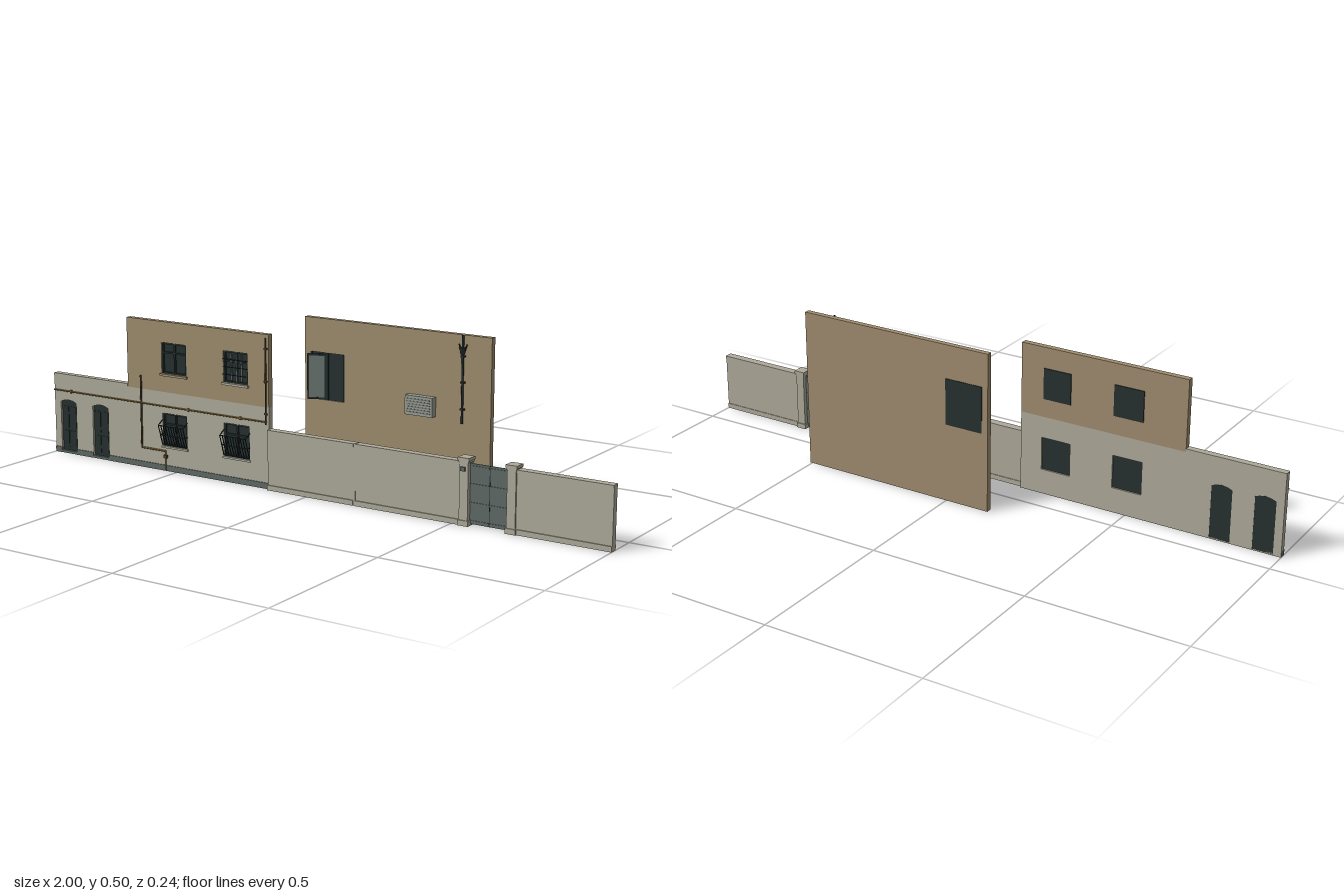
import * as THREE from 'three';

const mat = (name, color) => {
  const m = new THREE.MeshStandardMaterial({ color });
  m.name = name;
  return m;
};

export function createModel() {
  const plaster = mat('pale plaster', 0xaeab9a);
  const tan = mat('tan plaster', 0x9f8c6f);
  const dark = mat('dark glass and iron', 0x263030);
  const slate = mat('slate grey', 0x5f6a66);
  const paneGrey = mat('open pane grey', 0x6f7a77);
  const brass = mat('ochre pipe', 0x8a6c38);
  const rust = mat('brown pipe', 0x54412c);
  const vent = mat('light grey metal', 0x9a9d92);
  const root = new THREE.Group();
  root.name = 'streetWalls';

  const add = (name, geo, m, parent = root) => {
    const mesh = new THREE.Mesh(geo, m);
    mesh.name = name;
    parent.add(mesh);
    return mesh;
  };
  // Box given by its limits on each axis
  const box = (name, m, x0, x1, y0, y1, z0, z1, parent = root) => {
    const b = add(name, new THREE.BoxGeometry(x1 - x0, y1 - y0, z1 - z0), m, parent);
    b.position.set((x0 + x1) / 2, (y0 + y1) / 2, (z0 + z1) / 2);
    return b;
  };
  // Round rod between two points
  const rod = (name, m, a, b, r, parent = root) => {
    const p = new THREE.Vector3(...a), q = new THREE.Vector3(...b);
    const d = q.clone().sub(p);
    const c = add(name, new THREE.CylinderGeometry(r, r, d.length(), 8), m, parent);
    c.position.copy(p).add(q).multiplyScalar(0.5);
    c.quaternion.setFromUnitVectors(new THREE.Vector3(0, 1, 0), d.normalize());
  };
  // Wall with rectangular or slightly arched openings [x0, x1, y0, y1, rise]
  const outline = (T, [x0, x1, y0, y1, rise = 0]) => {
    const s = new T();
    s.moveTo(x0, y0);
    s.lineTo(x1, y0);
    s.lineTo(x1, y1 - rise);
    if (rise) s.quadraticCurveTo((x0 + x1) / 2, y1 + rise, x0, y1 - rise);
    else s.lineTo(x0, y1);
    s.closePath();
    return s;
  };
  const wall = (name, m, rect, z0, z1, holes = []) => {
    const s = outline(THREE.Shape, rect);
    s.holes = holes.map(h => outline(THREE.Path, h));
    const geo = new THREE.ExtrudeGeometry(s, { depth: z1 - z0, bevelEnabled: false, curveSegments: 6 });
    add(name, geo, m).position.z = z0;
  };

  // Street house: pale ground floor, tan upper storey
  const Z0 = 0.078, Z1 = 0.097;
  const doors = [[-0.975, -0.91, 0.004, 0.178, 0.008], [-0.84, -0.775, 0.004, 0.178, 0.008]];
  const lower = [[-0.552, -0.455, 0.08, 0.185], [-0.312, -0.215, 0.08, 0.185]];
  const upper = [[-0.552, -0.455, 0.312, 0.41], [-0.312, -0.22, 0.312, 0.41]];
  wall('groundFloorLeft', plaster, [-1, -0.69, 0.001, 0.26], Z0, Z1, doors);
  wall('groundFloorRight', plaster, [-0.69, -0.143, 0.001, 0.253], Z0, Z1, lower);
  wall('upperStorey', tan, [-0.69, -0.143, 0.253, 0.476], Z0, Z1, upper);
  box('parapetCap', plaster, -1, -0.69, 0.255, 0.263, 0.077, 0.099);

  // Plinth, broken by the doorways
  for (const [a, b] of [[-1, -0.975], [-0.91, -0.84], [-0.775, -0.141]])
    box('plinth', slate, a, b, 0, 0.018, 0.0785, 0.1);

  // Doors with panels and a threshold
  for (const [a, b] of doors) {
    const g = new THREE.Group();
    g.name = 'door';
    root.add(g);
    box('doorLeaf', dark, a, b, 0.004, 0.177, 0.0785, 0.09, g);
    box('threshold', slate, a, b, 0, 0.008, 0.0785, 0.099, g);
    const c = (a + b) / 2;
    for (const s of [-1, 1]) for (const [y0, y1] of [[0.02, 0.075], [0.085, 0.155]])
      box('doorPanel', dark, c + s * 0.016 - 0.011, c + s * 0.016 + 0.011, y0, y1, 0.09, 0.092, g);
  }

  // Frame, glazing bars and sill shared by the house windows
  const windowUnit = (name, [x0, x1, y0, y1], zBack) => {
    const g = new THREE.Group();
    g.name = name;
    root.add(g);
    box('glass', dark, x0, x1, y0, y1, zBack, 0.088, g);
    const t = 0.005, cx = (x0 + x1) / 2;
    for (const [a, b] of [[x0, x0 + t], [x1 - t, x1], [cx - t / 2, cx + t / 2]])
      box('upright', dark, a, b, y0, y1, 0.088, 0.094, g);
    for (const y of [y0, (y0 + y1) / 2 + 0.015, y1 - t])
      box('crossbar', dark, x0, x1, y, y + t, 0.088, 0.093, g);
    return g;
  };
  upper.forEach((w, i) => {
    const g = windowUnit('upperWindow', w, 0.075);
    box('sill', i ? plaster : tan, w[0] - 0.004, w[1] + 0.004, w[2] - 0.007, w[2], 0.09, 0.105, g);
    if (i) {
      // Grey reveal and a row of guard bars
      for (const x of [0.026, 0.045, 0.064])
        box('paleBar', paneGrey, w[0] + x, w[0] + x + 0.005, w[2] + 0.008, w[3] - 0.008, 0.0935, 0.096, g);
      for (const y of [0.338, 0.362, 0.386])
        rod('guardBar', dark, [w[0], y, 0.1], [w[1], y, 0.1], 0.0012, g);
    }
  });
  lower.forEach(w => {
    const g = windowUnit('lowerWindow', w, 0.083);
    box('sill', plaster, w[0] - 0.003, w[1] + 0.003, w[2] - 0.006, w[2], 0.09, 0.102, g);
    // Iron basket leaning outwards
    for (let i = 0; i <= 10; i++) {
      const x = w[0] + (w[1] - w[0]) * i / 10;
      rod('basketBar', dark, [x, 0.086, 0.1], [x, 0.15, 0.12], 0.0015, g);
    }
    for (const [y, z] of [[0.086, 0.1], [0.118, 0.11], [0.15, 0.12]])
      rod('basketRail', dark, [w[0], y, z], [w[1], y, z], 0.0018, g);
    for (const x of [w[0], w[1]]) {
      rod('basketSide', dark, [x, 0.15, 0.12], [x, 0.165, 0.095], 0.0015, g);
      rod('basketSide', dark, [x, 0.118, 0.11], [x, 0.118, 0.095], 0.0015, g);
    }
  });

  // Pipes on the street front
  rod('gasPipe', brass, [-1, 0.208, 0.1], [-0.15, 0.208, 0.1], 0.0025);
  const route = [[-0.635, 0.296, 0.1], [-0.635, 0.064, 0.1], [-0.54, 0.064, 0.1], [-0.54, 0.002, 0.102]];
  for (let i = 0; i < 3; i++) rod('drainPipe', i ? brass : rust, route[i], route[i + 1], 0.003);
  box('pipeValve', rust, -0.545, -0.533, 0.042, 0.052, 0.098, 0.106);
  rod('cornerPipe', rust, [-0.152, 0.2, 0.1], [-0.152, 0.465, 0.1], 0.0025);
  for (const y of [0.23, 0.33, 0.43]) box('pipeClip', rust, -0.157, -0.147, y, y + 0.005, 0.096, 0.103);
  for (const x of [-0.93, -0.45, -0.25]) box('pipeClip', brass, x, x + 0.005, 0.203, 0.213, 0.096, 0.103);

  // Garden wall
  for (const [a, b] of [[-0.141, 0.168], [0.172, 0.53], [0.705, 1]]) {
    box('gardenWall', plaster, a, b, 0, 0.178, 0.087, 0.107);
    box('gardenWallCoping', plaster, a, b, 0.178, 0.187, 0.084, 0.11);
    box('gardenWallBase', plaster, a, b, 0, 0.016, 0.085, 0.111);
  }
  box('wallJoint', plaster, 0.165, 0.175, 0, 0.188, 0.086, 0.1085);

  // Gate pillars: base, shaft, stepped cap
  for (const x of [0.54, 0.692]) {
    const g = new THREE.Group();
    g.name = 'gatePillar';
    root.add(g);
    for (const [y0, y1, hx, hz] of [[0, 0.016, 0.017, 0.0185], [0.016, 0.184, 0.014, 0.015],
      [0.184, 0.19, 0.016, 0.017], [0.19, 0.199, 0.018, 0.0185]])
      box('pillarBlock', plaster, x - hx, x + hx, y0, y1, 0.097 - hz, 0.097 + hz, g);
  }
  box('doorbell', slate, 0.531, 0.545, 0.16, 0.172, 0.111, 0.117);

  // Double sheet gate with ribs
  for (const [a, b] of [[0.554, 0.616], [0.618, 0.678]]) {
    box('gateLeaf', slate, a, b, 0.005, 0.182, 0.095, 0.098);
    for (const y of [0.012, 0.065, 0.12, 0.172]) box('gateRib', slate, a, b, y, y + 0.004, 0.094, 0.1);
  }
  box('gateSeam', dark, 0.616, 0.618, 0.005, 0.182, 0.0955, 0.0985);

  // Rear house wall with its window
  const rearWin = [-0.125, 0, 0.25, 0.397];
  wall('rearWall', tan, [-0.145, 0.507, 0, 0.503], -0.118, -0.1, [rearWin]);
  box('rearGlass', dark, -0.125, 0, 0.25, 0.397, -0.12, -0.104);
  for (const x of [-0.125, -0.065, -0.005]) box('rearWindowPost', dark, x, x + 0.005, 0.25, 0.397, -0.104, -0.099);

  // Casement standing open
  const casement = new THREE.Group();
  casement.name = 'openCasement';
  casement.position.set(-0.066, 0, -0.1);
  casement.rotation.y = 0.4;
  root.add(casement);
  box('casementPane', paneGrey, -0.056, -0.004, 0.258, 0.388, -0.001, 0.001, casement);
  for (const x of [-0.06, -0.006]) box('casementStile', dark, x, x + 0.006, 0.252, 0.394, -0.002, 0.002, casement);
  for (const y of [0.252, 0.388]) box('casementRail', dark, -0.06, 0, y, y + 0.006, -0.002, 0.002, casement);

  // Air conditioner with louvres
  box('airUnit', vent, 0.228, 0.322, 0.248, 0.307, -0.1, -0.078);
  for (let i = 0; i < 6; i++)
    box('airLouvre', paneGrey, 0.235, 0.315, 0.256 + i * 0.008, 0.259 + i * 0.008, -0.078, -0.0765);

  // Downpipe with hopper and brackets
  rod('downpipe', dark, [0.415, 0.24, -0.093], [0.415, 0.503, -0.093], 0.0035);
  const hopper = add('hopper', new THREE.CylinderGeometry(0.012, 0.005, 0.022, 8), dark);
  hopper.position.set(0.415, 0.456, -0.092);
  for (const s of [-1, 1])
    rod('hopperArm', dark, [0.415, 0.452, -0.093], [0.415 + s * 0.014, 0.476, -0.093], 0.002);
  for (const y of [0.28, 0.36, 0.438]) box('downpipeBracket', dark, 0.409, 0.421, y, y + 0.005, -0.101, -0.089);

  return root;
}
